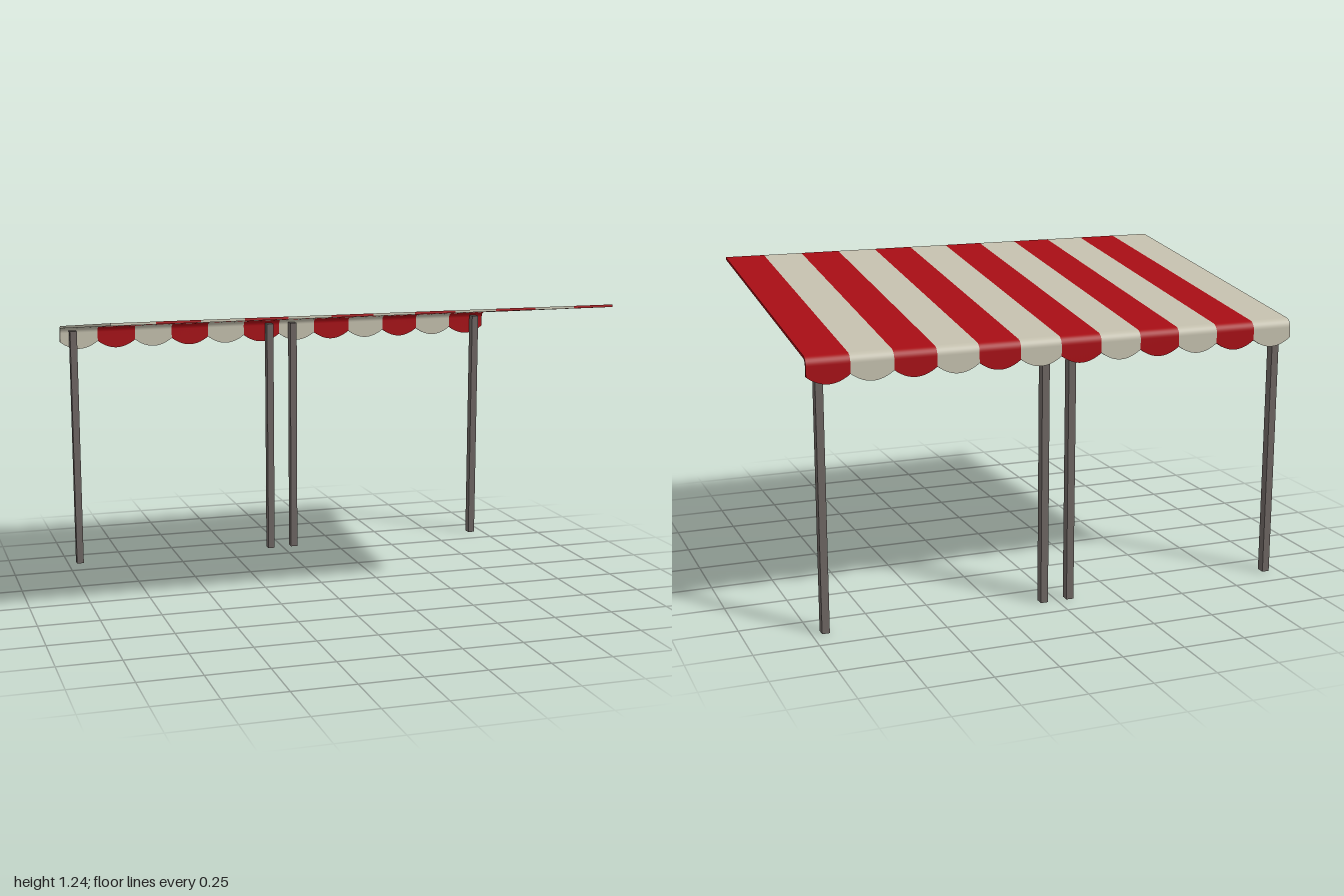
import * as THREE from 'three';

const STRIPES = 12, WIDTH = 2 / STRIPES, THICK = 0.01;
const TILT = Math.atan2(0.17, 1.3);          // fall of the roof towards the back
const BEND = { z: -0.63, y: 1.038, r: 0.035, steps: 8 };

// Outer profile of the cloth: sloping roof, rounded bend, hanging valance
function clothProfile() {
  const pts = [];
  for (let i = 0; i <= BEND.steps; i++) {
    const a = TILT + (Math.PI / 2 - TILT) * i / BEND.steps;
    pts.push({ z: BEND.z - BEND.r * Math.sin(a), y: BEND.y + BEND.r * Math.cos(a), a });
  }
  const run = 0.665 - pts[0].z;
  pts.unshift({ z: 0.665, y: pts[0].y + run * Math.tan(TILT), a: TILT });
  pts.push({ z: BEND.z - BEND.r, y: 0.998, a: Math.PI / 2 });
  return pts;
}

// One stripe: a thin box wrapped along the profile, with a scalloped lower edge
function stripeGeometry(profile) {
  const n = profile.length - 1;
  const geo = new THREE.BoxGeometry(WIDTH, 1, 1, 16, 1, n);
  const pos = geo.attributes.position;
  for (let i = 0; i < pos.count; i++) {
    const x = pos.getX(i);
    const k = Math.round((0.5 - pos.getZ(i)) * n);
    const p = profile[k];
    const inset = pos.getY(i) > 0 ? 0 : THICK;
    const scallop = k === n ? 0.032 * (1 - (2 * x / WIDTH) ** 2) : 0;
    pos.setXYZ(i, x,
      p.y - inset * Math.cos(p.a) - scallop,
      p.z + inset * Math.sin(p.a));
  }
  geo.computeVertexNormals();
  return geo;
}

export function createModel() {
  const model = new THREE.Group();
  model.name = 'awning';
  const cream = new THREE.MeshStandardMaterial({ color: 0xc2beac });
  const red = new THREE.MeshStandardMaterial({ color: 0xa50d14 });
  const metal = new THREE.MeshStandardMaterial({ color: 0x6c6461 });

  // Striped canopy
  const canopy = new THREE.Group();
  canopy.name = 'canopy';
  const stripe = stripeGeometry(clothProfile());
  for (let i = 0; i < STRIPES; i++) {
    const mesh = new THREE.Mesh(stripe, i % 2 ? red : cream);
    mesh.name = i % 2 ? 'redStripe' : 'creamStripe';
    mesh.position.x = -1 + (i + 0.5) * WIDTH;
    canopy.add(mesh);
  }
  model.add(canopy);

  // Posts under the valance, an outer and an inner one on each side
  const postGeo = new THREE.BoxGeometry(0.03, 1.05, 0.037);
  for (const x of [-0.947, -0.055, 0.055, 0.947]) {
    const post = new THREE.Mesh(postGeo, metal);
    post.name = Math.abs(x) > 0.5 ? 'outerPost' : 'innerPost';
    post.position.set(x, 0.525, -0.626);
    model.add(post);
  }
  return model;
}
